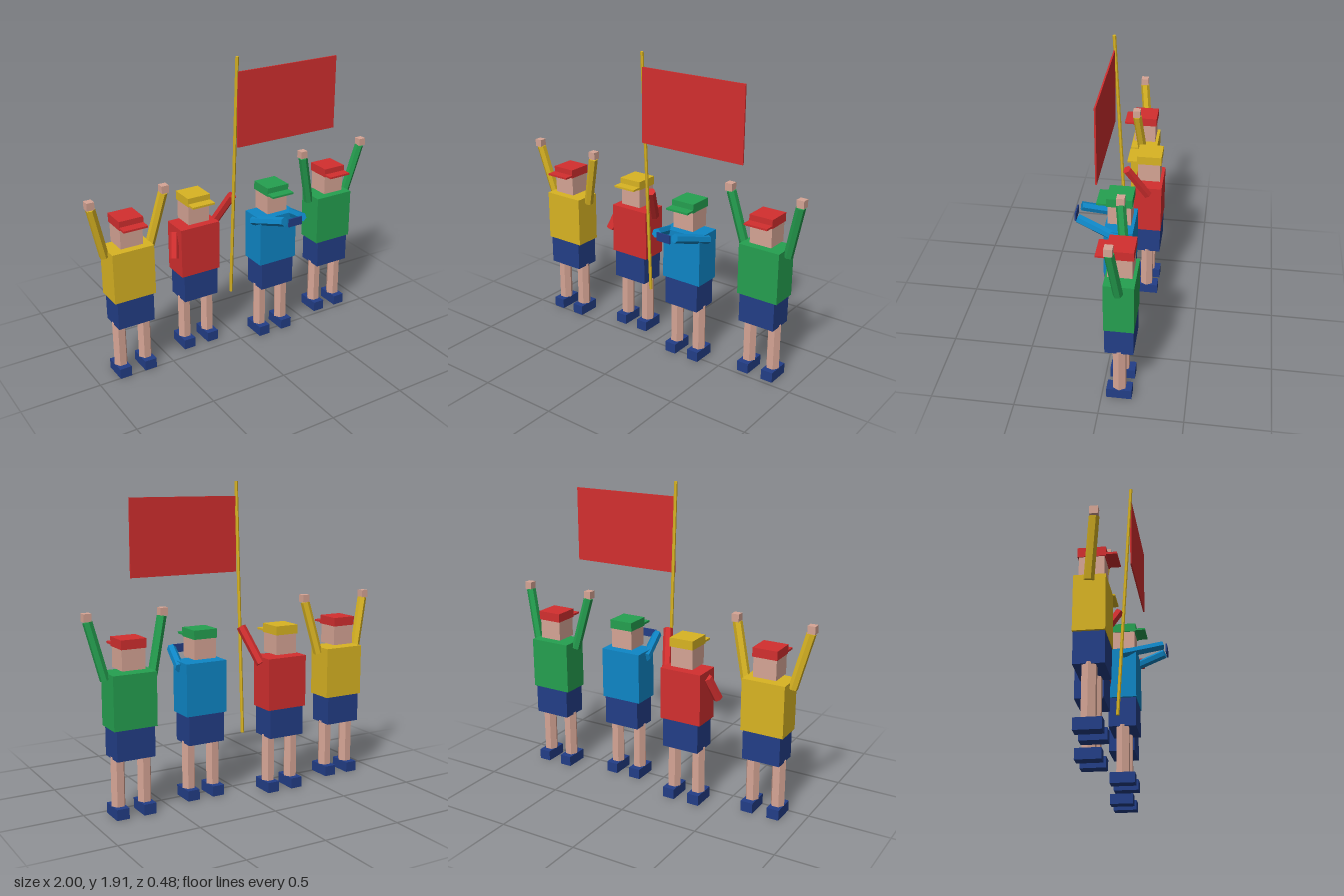
import * as THREE from 'three';

const mat = (name, color) => {
  const m = new THREE.MeshStandardMaterial({ color });
  m.name = name;
  return m;
};

export function createModel() {
  const root = new THREE.Group();
  root.name = 'cheeringFans';

  const red = mat('red', 0xd32f2f);
  const yellow = mat('yellow', 0xd9b423);
  const green = mat('green', 0x25a050);
  const blue = mat('blue', 0x0e86c6);
  const navy = mat('navy', 0x233e87);
  const skin = mat('skin', 0xd6a595);

  const add = (parent, name, geometry, material, x, y, z) => {
    const mesh = new THREE.Mesh(geometry, material);
    mesh.name = name;
    mesh.position.set(x, y, z);
    parent.add(mesh);
    return mesh;
  };
  const box = (parent, name, w, h, d, material, x, y, z) =>
    add(parent, name, new THREE.BoxGeometry(w, h, d), material, x, y, z);

  // faceted cylinder between two points
  const facetedRod = (parent, name, from, to, radius, material) => {
    const a = new THREE.Vector3(...from), b = new THREE.Vector3(...to);
    const dir = b.clone().sub(a);
    const geometry = new THREE.CylinderGeometry(radius, radius, dir.length(), 6).toNonIndexed();
    geometry.computeVertexNormals();
    const mid = a.add(b).multiplyScalar(0.5);
    const mesh = add(parent, name, geometry, material, mid.x, mid.y, mid.z);
    mesh.quaternion.setFromUnitVectors(new THREE.Vector3(0, 1, 0), dir.normalize());
    return mesh;
  };

  // body shared by every fan
  const makeFan = (name, x, z, shirt, cap) => {
    const fan = new THREE.Group();
    fan.name = name;
    fan.position.set(x, 0, z);
    root.add(fan);
    for (const s of [-1, 1]) {
      const side = s < 0 ? 'right' : 'left';
      box(fan, side + 'Shoe', 0.077, 0.065, 0.15, navy, s * 0.085, 0.0325, 0);
      const leg = facetedRod(fan, side + 'Leg', [s * 0.083, 0.065, 0], [s * 0.083, 0.36, 0], 0.043, skin);
      leg.rotateY(Math.PI / 6);
    }
    box(fan, 'shorts', 0.237, 0.18, 0.168, navy, 0, 0.44, 0);
    box(fan, 'shirt', 0.268, 0.32, 0.174, shirt, 0, 0.69, 0);
    box(fan, 'head', 0.144, 0.125, 0.14, skin, 0, 0.93, 0);
    box(fan, 'cap', 0.154, 0.055, 0.154, cap, 0, 1.0175, 0);
    box(fan, 'capBrim', 0.154, 0.012, 0.06, cap, 0, 1.003, 0.107);
    return fan;
  };

  const arm = (fan, side, from, to, shirt) => facetedRod(fan, side + 'Arm', from, to, 0.029, shirt);

  // two fans with both arms raised
  for (const [name, x, z, shirt] of [['yellowFan', -0.743, -0.07, yellow], ['greenFan', 0.741, -0.104, green]]) {
    const fan = makeFan(name, x, z, shirt, red);
    for (const s of [-1, 1]) {
      const side = s < 0 ? 'right' : 'left';
      arm(fan, side, [s * 0.147, 0.812, 0], [s * 0.228, 1.145, 0.036], shirt);
      box(fan, side + 'Hand', 0.047, 0.047, 0.047, skin, s * 0.234, 1.17, 0.037);
    }
  }

  // flag bearer
  const bearer = makeFan('flagBearer', -0.25, -0.152, red, yellow);
  arm(bearer, 'right', [-0.135, 0.81, 0], [-0.175, 0.665, 0.065], red);
  arm(bearer, 'left', [0.14, 0.81, 0], [0.204, 1.025, 0.125], red);

  // fan looking through binoculars
  const watcher = makeFan('binocularsFan', 0.246, -0.032, blue, green);
  for (const s of [-1, 1]) {
    arm(watcher, s < 0 ? 'right' : 'left', [s * 0.135, 0.813, 0], [s * 0.066, 0.885, 0.248], blue);
  }
  box(watcher, 'binoculars', 0.097, 0.052, 0.009, navy, 0, 0.878, 0.268);

  // leaning pole with its flag
  facetedRod(root, 'flagPole', [-0.052, 0.355, -0.035], [-0.053, 1.907, 0.047], 0.0105, yellow);
  box(root, 'flag', 0.706, 0.46, 0.009, red, 0.302, 1.588, 0.046);

  return root;
}
